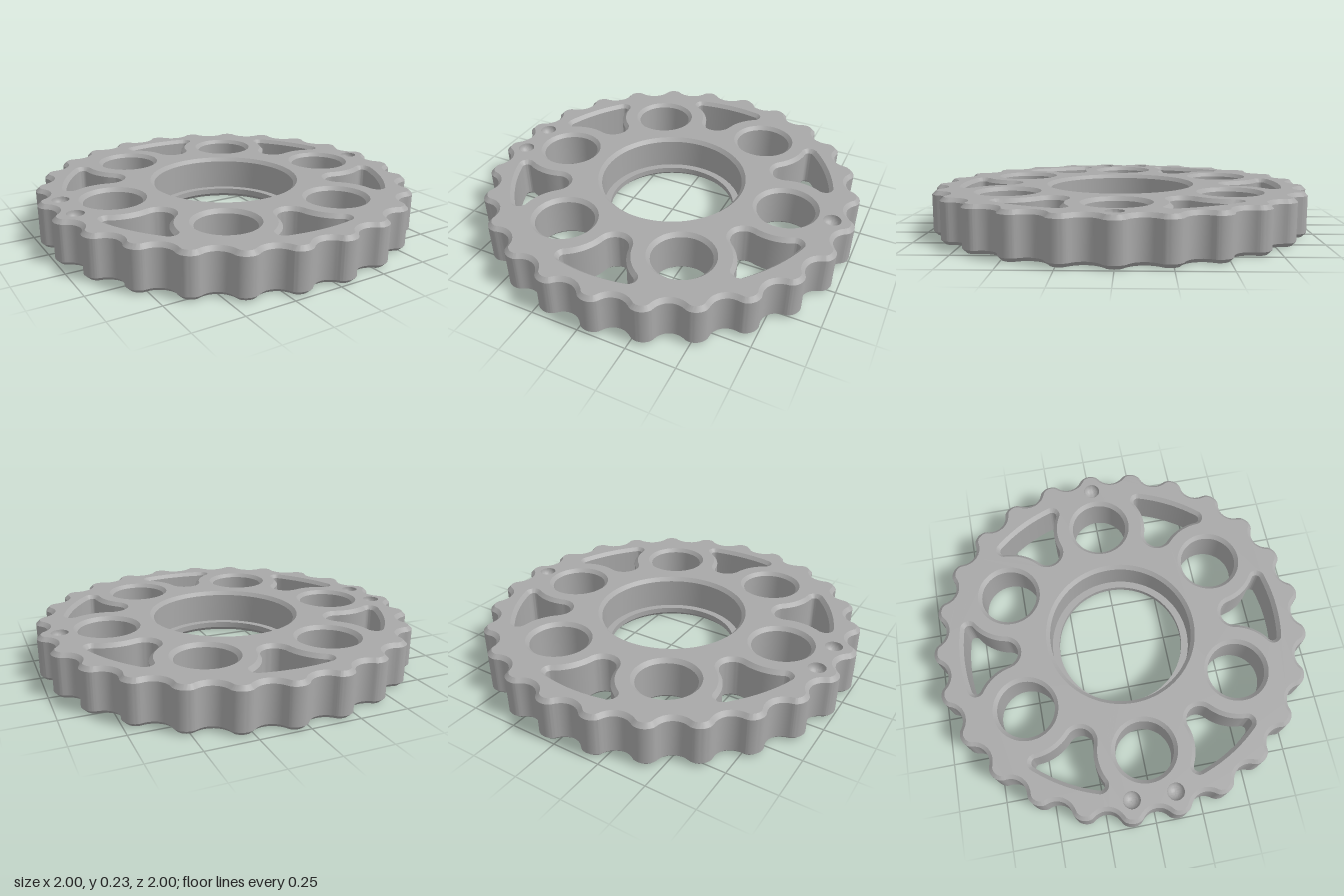
import * as THREE from 'three';
import { toCreasedNormals } from 'three/addons/utils/BufferGeometryUtils.js';

const H = 0.23, C = 0.02;          // thickness and chamfer
const LOBES = 25;
const PITCH = 0.648;               // radius of the ring of round holes

// Points on an arc, without its end point
function arc(cx, cy, r, a0, a1, n) {
  return Array.from({ length: n }, (_, i) => {
    const a = a0 + (a1 - a0) * i / n;
    return new THREE.Vector2(cx + r * Math.cos(a), cy + r * Math.sin(a));
  });
}

// Cycloidal outline, inset by d
function rimOutline(d) {
  const e = 0.031, roller = 0.08 + d, ring = 1.051, pins = LOBES + 1, steps = 36;
  const pts = [];
  for (let i = 0; i < LOBES * steps; i++) {
    const u = i / steps * Math.PI * 2;
    const t = (u - 0.6 * Math.sin(u)) / LOBES;   // denser samples in the valleys
    const psi = Math.atan2(-Math.sin(LOBES * t), ring / (e * pins) - Math.cos(LOBES * t));
    const p = new THREE.Vector2(
      ring * Math.cos(t) - roller * Math.cos(t + psi) - e * Math.cos(pins * t),
      ring * Math.sin(t) - roller * Math.sin(t + psi) - e * Math.sin(pins * t));
    pts.push(p.rotateAround(new THREE.Vector2(), Math.PI / LOBES));
  }
  return pts;
}

// Round hole outline, widened by d; holes run clockwise
const circle = (cx, cy, r, n = 64) => d => arc(cx, cy, r + d, 0, -Math.PI * 2, n);

// Rounded window between two round holes, widened by d
const windowOutline = turn => d => {
  const outer = 0.865 - C, wall = 0.24 + C, corner = 0.045 - C;
  const hx = PITCH * Math.cos(Math.PI / 6), hy = PITCH / 2;
  const tipX = 0.63, tip = Math.hypot(hx - tipX, hy) - wall;
  const cr = outer - corner, reach = wall + corner;
  const al = Math.PI / 6 - Math.acos((cr * cr + PITCH * PITCH - reach * reach) / (2 * cr * PITCH));
  const cx = cr * Math.cos(al), cy = cr * Math.sin(al);
  const toHole = Math.atan2(hy - cy, hx - cx);
  const toTip = Math.atan2(-hy, tipX - hx);
  const P = Math.PI;
  const pts = [
    ...arc(0, 0, outer + d, -al, al, 12),
    ...arc(cx, cy, corner + d, al, toHole, 12),
    ...arc(hx, hy, wall - d, toHole - P, toTip, 12),
    ...arc(tipX, 0, tip + d, toTip + P, P - toTip, 20),
    ...arc(hx, -hy, wall - d, -toTip, P - toHole, 12),
    ...arc(cx, -cy, corner + d, -toHole, -al, 12),
  ];
  return pts.map(p => p.rotateAround(new THREE.Vector2(), turn)).reverse();
};

// Surface through copies of an outline; each row is [offset, height]
function loft(outline, rows) {
  const pos = [], index = [];
  const n = outline(0).length;
  rows.forEach(([d, y]) => outline(d).forEach(p => pos.push(p.x, y, -p.y)));
  for (let r = 0; r < rows.length - 1; r++) {
    for (let i = 0; i < n; i++) {
      const j = (i + 1) % n, a = r * n + i, b = r * n + j;
      index.push(a, b, b + n, a, b + n, a + n);
    }
  }
  const g = new THREE.BufferGeometry();
  g.setAttribute('position', new THREE.Float32BufferAttribute(pos, 3));
  g.setIndex(index);
  return toCreasedNormals(g, 0.5);
}

export function createModel() {
  const model = new THREE.Group();
  model.name = 'cycloidalDisc';
  const steel = new THREE.MeshStandardMaterial({ color: 0xa8a8a8 });
  steel.name = 'grey steel';
  const add = (name, geometry) => {
    const m = new THREE.Mesh(geometry, steel);
    m.name = name;
    model.add(m);
    return m;
  };

  const chamfered = [[C, 0], [0, C], [0, H - C], [C, H]];
  const topHoles = [], bottomHoles = [];
  const cut = (name, outline, rows) => {
    add(name, loft(outline, rows));
    bottomHoles.push(outline(rows[0][0]));
    topHoles.push(outline(rows[rows.length - 1][0]));
  };

  // Lobed rim
  add('lobedRim', loft(rimOutline, chamfered));

  // Stepped bearing bore with a lip near the bottom
  cut('bearingBore', circle(0, 0, 0.342, 96),
    [[C, 0], [0, C], [0, 0.05], [0.038, 0.05], [0.038, H - C], [0.058, H]]);

  // Six round holes alternating with six windows
  for (let k = 0; k < 6; k++) {
    const a = k * Math.PI / 3;
    cut('pinHole', circle(PITCH * Math.cos(a), PITCH * Math.sin(a), 0.15), chamfered);
    cut('windowCutout', windowOutline(a + Math.PI / 6), chamfered);
  }

  // Round timing dimples on both faces
  const R = 0.044, arcSteps = [0, 1, 2, 3, 4, 5, 6, 7, 8];
  for (const lobe of [0, 12, 13]) {
    const a = lobe * Math.PI * 2 / LOBES;
    const outline = circle(0.889 * Math.cos(a), 0.889 * Math.sin(a), R, 32);
    const bowl = arcSteps.map(i => {
      const t = Math.max(i / 8 * Math.PI / 2, 0.01);
      return [R * Math.sin(t) - R, R * Math.cos(t)];
    });
    add('topDimple', loft(outline, bowl.map(([d, h]) => [d, H - h])));
    add('bottomDimple', loft(outline, bowl.slice().reverse().map(([d, h]) => [d, h])));
    topHoles.push(outline(0));
    bottomHoles.push(outline(0));
  }

  // Flat faces
  const face = holes => {
    const shape = new THREE.Shape(rimOutline(C));
    shape.holes = holes.map(pts => new THREE.Path(pts));
    return new THREE.ShapeGeometry(shape);
  };
  add('topFace', face(topHoles).rotateX(-Math.PI / 2).translate(0, H, 0));
  // The layout is symmetric in z, so turning the face over keeps it aligned
  add('bottomFace', face(bottomHoles).rotateX(Math.PI / 2));

  model.position.x = -0.004;
  return model;
}
